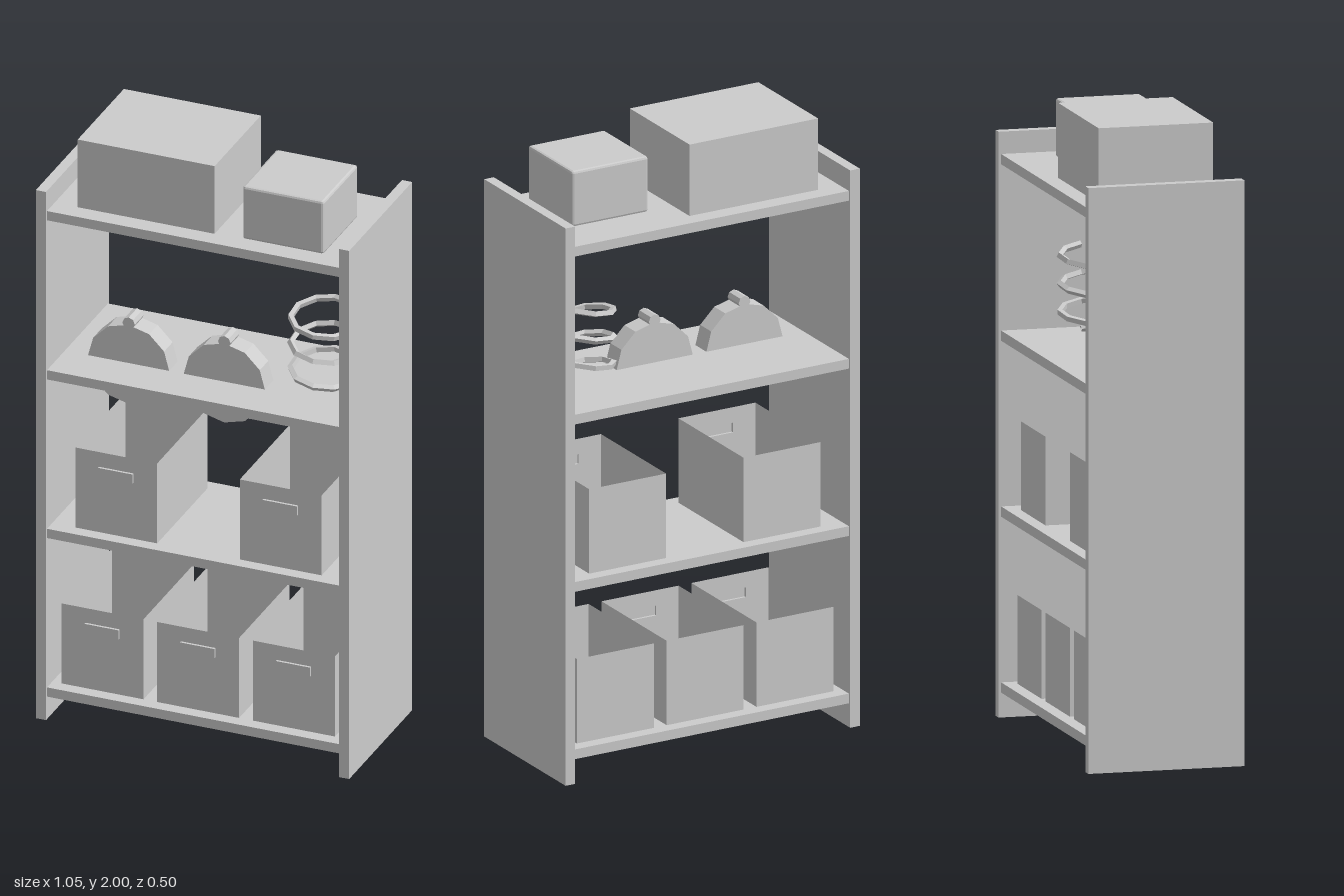
import * as THREE from 'three';
import { RoundedBoxGeometry } from 'three/addons/geometries/RoundedBoxGeometry.js';

const grey = new THREE.MeshStandardMaterial({ color: 0xcccccc, flatShading: true, side: THREE.DoubleSide });
grey.name = 'plain grey';

function add(parent, name, geometry, x = 0, y = 0, z = 0) {
  const mesh = new THREE.Mesh(geometry, grey);
  mesh.name = name;
  mesh.position.set(x, y, z);
  parent.add(mesh);
  return mesh;
}

// Thin sheet, turned about x or y
function sheet(parent, name, w, h, x, y, z, rx = 0, ry = 0) {
  add(parent, name, new THREE.PlaneGeometry(w, h), x, y, z).rotation.set(rx, ry, 0);
}

// Open-topped bin with a handle pocket pressed out of its front
function storageBin(x, y) {
  const bin = new THREE.Group();
  bin.name = 'storageBin';
  bin.position.set(x, y, 0);
  const w = 0.274, h = 0.278, d = 0.4, q = Math.PI / 2;
  const pw = 0.115, ph = 0.032, py = 0.211, pd = 0.008;

  const front = new THREE.Shape();
  front.moveTo(-w / 2, 0).lineTo(w / 2, 0).lineTo(w / 2, h).lineTo(-w / 2, h).closePath();
  const slot = new THREE.Path();
  slot.moveTo(-pw / 2, py - ph / 2).lineTo(-pw / 2, py + ph / 2)
    .lineTo(pw / 2, py + ph / 2).lineTo(pw / 2, py - ph / 2).closePath();
  front.holes.push(slot);
  add(bin, 'binFront', new THREE.ShapeGeometry(front), 0, 0, d / 2);
  sheet(bin, 'binBack', w, h, 0, h / 2, -d / 2, 0, Math.PI);
  sheet(bin, 'binBottom', w, d, 0, 0.004, 0, -q);
  sheet(bin, 'handleFace', pw, ph, 0, py, d / 2 + pd);
  for (const s of [-1, 1]) {
    sheet(bin, 'binSide', d, h, s * w / 2, h / 2, 0, 0, s * q);
    sheet(bin, 'handleEnd', pd, ph, s * pw / 2, py, d / 2 + pd / 2, 0, s * q);
    sheet(bin, 'handleEdge', pw, pd, 0, py + s * ph / 2, d / 2 + pd / 2, -s * q);
  }
  return bin;
}

// Twelve-sided disc with a small knob on top, sunk halfway into its shelf
function discOrnament(x) {
  const disc = new THREE.Group();
  disc.name = 'discOrnament';
  disc.position.set(x, 1.207, 0.066);
  const body = new THREE.CylinderGeometry(0.137, 0.137, 0.068, 12).rotateX(Math.PI / 2);
  add(disc, 'discBody', body);
  add(disc, 'discKnob', new THREE.CylinderGeometry(0.021, 0.021, 0.068, 8).rotateX(Math.PI / 2), 0, 0.142);
  return disc;
}

// Rising coil
class Helix extends THREE.Curve {
  getPoint(t, target = new THREE.Vector3()) {
    const a = t * 3 * Math.PI * 2;
    return target.set(0.09 * Math.cos(a), 0.265 * t, 0.09 * Math.sin(a));
  }
}

export function createModel() {
  const model = new THREE.Group();
  model.name = 'storageShelf';

  // Frame
  for (const s of [-1, 1]) {
    add(model, 'sidePanel', new THREE.BoxGeometry(0.034, 1.835, 0.5), s * 0.507, 0.9175);
  }
  for (const top of [0.11, 0.661, 1.212, 1.765]) {
    add(model, 'shelf', new THREE.BoxGeometry(0.98, 0.032, 0.484), 0, top - 0.016);
  }

  // Bins on the two lower shelves
  for (const x of [-0.322, -0.002, 0.318]) model.add(storageBin(x, 0.11));
  for (const x of [-0.276, 0.274]) model.add(storageBin(x, 0.661));

  // Ornaments on the third shelf
  for (const x of [-0.277, 0.043]) model.add(discOrnament(x));
  add(model, 'springCoil', new THREE.TubeGeometry(new Helix(), 27, 0.011, 4), 0.316, 1.222, -0.01);

  // Boxes on the top shelf
  add(model, 'largeBox', new THREE.BoxGeometry(0.458, 0.235, 0.367), -0.184, 1.8825, -0.002);
  add(model, 'smallBox', new RoundedBoxGeometry(0.272, 0.183, 0.272, 1, 0.008), 0.273, 1.8565, 0.044);

  return model;
}
